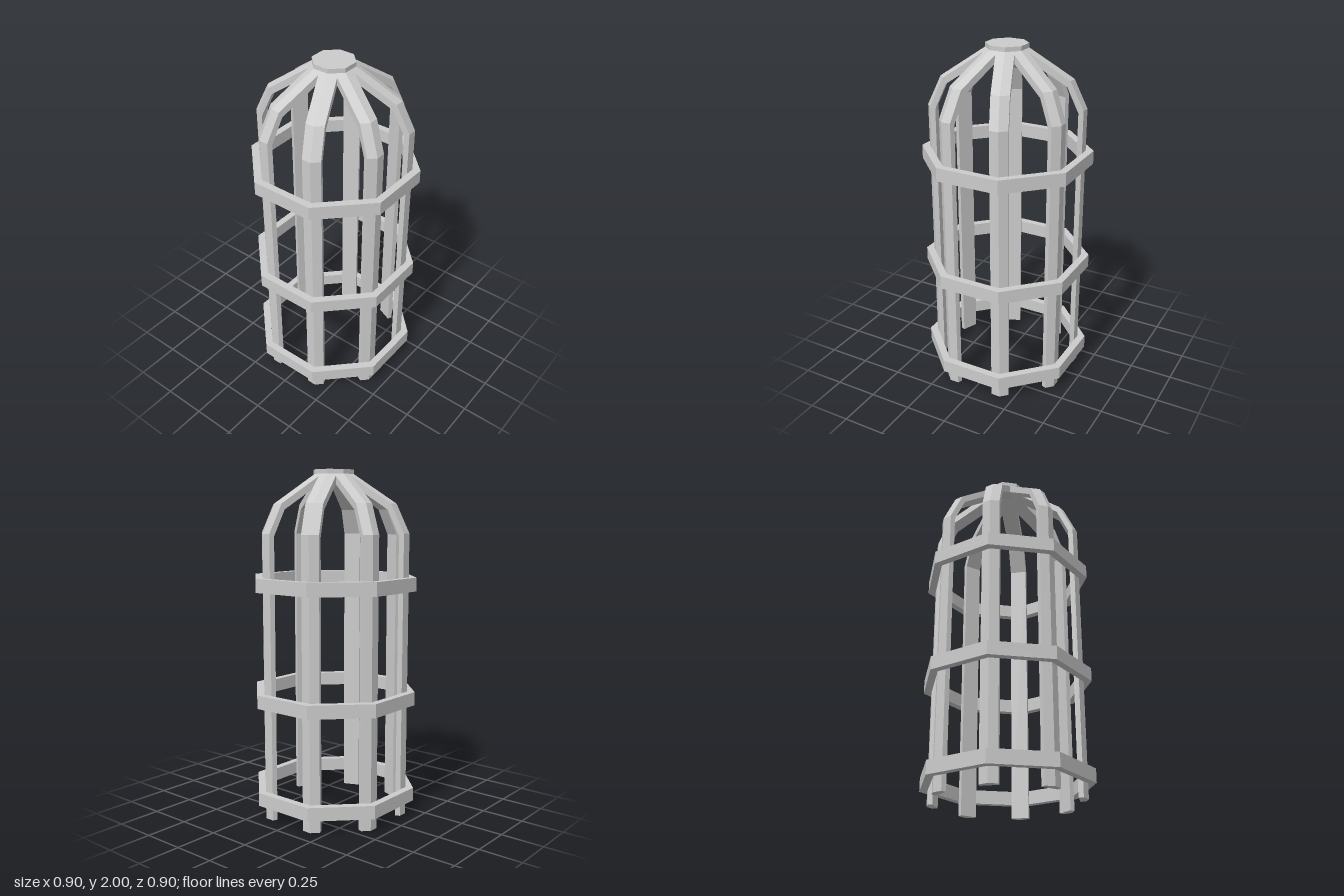
import * as THREE from 'three';

const STEP = Math.PI / 4;
const material = new THREE.MeshStandardMaterial({ color: 0xcccccc, flatShading: true });

// Octagon outline with flat sides facing the axes
function octagon(apothem, Type) {
  const r = apothem / Math.cos(STEP / 2);
  const pts = [];
  for (let i = 0; i < 8; i++) {
    const a = (i + 0.5) * STEP;
    pts.push(new THREE.Vector2(r * Math.cos(a), r * Math.sin(a)));
  }
  return new Type(pts);
}

// Horizontal octagonal slab or ring between two heights
function slab(name, y0, y1, outer, inner) {
  const shape = octagon(outer, THREE.Shape);
  if (inner) shape.holes.push(octagon(inner, THREE.Path));
  const geo = new THREE.ExtrudeGeometry(shape, { depth: y1 - y0, bevelEnabled: false });
  geo.rotateX(-Math.PI / 2);
  geo.translate(0, y0, 0);
  const mesh = new THREE.Mesh(geo, material);
  mesh.name = name;
  return mesh;
}

// Five-sided bar: ridged outside, flat inside, lofted up and over the dome
function barGeometry() {
  const w = 0.05, drop = w * Math.tan(STEP / 2);
  // outer height, ridge radius, inner height, inner radius
  const rows = [
    [0, 0.444, 0, 0.395],
    [1.645, 0.444, 1.632, 0.395],
    [1.81, 0.368, 1.777, 0.33],
    [1.975, 0.119, 1.975, 0.03],
  ];
  const pos = [], index = [], n = 5;
  for (const [y, r, yi, ri] of rows) {
    pos.push(r - drop, y, -w, r, y, 0, r - drop, y, w, ri, yi, w, ri, yi, -w);
  }
  for (let i = 0; i < rows.length - 1; i++) {
    for (let j = 0; j < n; j++) {
      const a = i * n + j, b = i * n + (j + 1) % n;
      index.push(a, a + n, b, b, a + n, b + n);
    }
  }
  // end caps
  const top = (rows.length - 1) * n;
  for (let j = 1; j < n - 1; j++) {
    index.push(0, j, j + 1, top, top + j + 1, top + j);
  }
  const geo = new THREE.BufferGeometry();
  geo.setAttribute('position', new THREE.Float32BufferAttribute(pos, 3));
  geo.setIndex(index);
  const flat = geo.toNonIndexed();
  flat.computeVertexNormals();
  return flat;
}

export function createModel() {
  const model = new THREE.Group();
  model.name = 'ladderCage';

  // Upright bars at the octagon corners
  const bars = new THREE.Group();
  bars.name = 'bars';
  const geo = barGeometry();
  for (let i = 0; i < 8; i++) {
    const bar = new THREE.Mesh(geo, material);
    bar.name = 'bar';
    bar.rotation.y = (i + 0.5) * STEP;
    bars.add(bar);
  }
  model.add(bars);

  // Hoops around the bars
  model.add(slab('lowerHoop', 0.085, 0.163, 0.452, 0.41));
  model.add(slab('middleHoop', 0.662, 0.74, 0.452, 0.41));
  model.add(slab('upperHoop', 1.322, 1.4, 0.452, 0.41));

  // Cap plate on the dome
  model.add(slab('capPlate', 1.973, 2, 0.11));
  return model;
}
